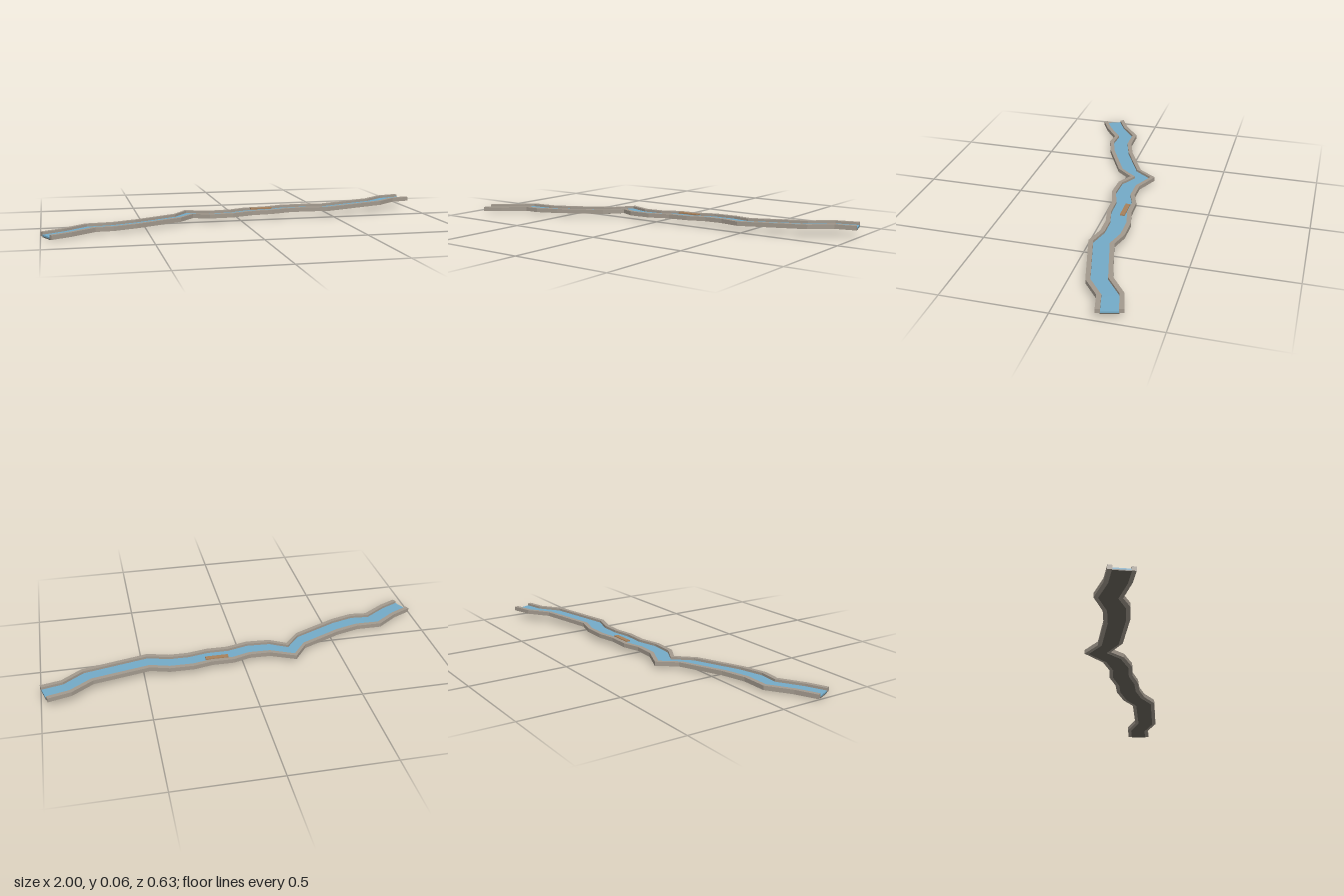
import * as THREE from 'three';

// Stations along the channel: back edge x, z, front edge x, z, height of the bank tops
const stations = [
  [-1.0, 0.20, -0.95, 0.31, 0.025],
  [-0.90, 0.15, -0.86, 0.265, 0.027],
  [-0.79, 0.067, -0.745, 0.187, 0.030],
  [-0.66, 0.065, -0.66, 0.193, 0.032],
  [-0.54, 0.028, -0.545, 0.158, 0.034],
  [-0.335, -0.07, -0.318, 0.05, 0.037],
  [-0.265, -0.163, -0.243, -0.035, 0.038],
  [-0.14, -0.11, -0.163, 0.008, 0.040],
  [-0.035, -0.11, -0.043, 0.013, 0.042],
  [0.05, -0.14, 0.065, -0.018, 0.044],
  [0.16, -0.142, 0.17, -0.02, 0.046],
  [0.255, -0.165, 0.27, -0.042, 0.048],
  [0.375, -0.165, 0.365, -0.042, 0.049],
  [0.47, -0.14, 0.47, -0.015, 0.051],
  [0.75, -0.21, 0.80, -0.10, 0.059],
  [0.855, -0.288, 0.90, -0.178, 0.060],
  [0.967, -0.318, 1.0, -0.20, 0.060],
];

// Sweeps a rectangle along the stations; t runs across from back (0) to front (1),
// heights are measured from the bank tops
function sweep(name, color, t0, t1, top, bottom) {
  const rings = stations.map(([bx, bz, fx, fz, y]) =>
    [[t0, top], [t1, top], [t1, bottom], [t0, bottom]].map(([t, dy]) =>
      [bx + (fx - bx) * t, y + dy, bz + (fz - bz) * t]));
  const pos = [];
  const quad = (a, b, c, d) => pos.push(...a, ...b, ...c, ...a, ...c, ...d);
  for (let i = 0; i < rings.length - 1; i++) {
    for (let k = 0; k < 4; k++) {
      const n = (k + 1) % 4;
      quad(rings[i][k], rings[i][n], rings[i + 1][n], rings[i + 1][k]);
    }
  }
  quad(...rings[0].slice().reverse());
  quad(...rings[rings.length - 1]);
  const geometry = new THREE.BufferGeometry();
  geometry.setAttribute('position', new THREE.Float32BufferAttribute(pos, 3));
  geometry.computeVertexNormals();
  const mesh = new THREE.Mesh(geometry, new THREE.MeshStandardMaterial({ color, flatShading: true }));
  mesh.name = name;
  return mesh;
}

export function createModel() {
  const group = new THREE.Group();
  group.name = 'waterChannel';
  const bank = 0.18;

  // Stone banks on both sides
  group.add(sweep('backBank', 0xa39a8e, 0, bank, 0, -0.021));
  group.add(sweep('frontBank', 0xa39a8e, 1 - bank, 1, 0, -0.021));

  // Bed and the water lying on it
  group.add(sweep('channelBed', 0x6b675e, bank * 0.9, 1 - bank * 0.9, -0.019, -0.024));
  group.add(sweep('water', 0x74abc8, bank, 1 - bank, -0.012, -0.019));

  // Small wooden board at the back bank
  const board = new THREE.Mesh(
    new THREE.BoxGeometry(0.115, 0.006, 0.024),
    new THREE.MeshStandardMaterial({ color: 0xa8815a }));
  board.name = 'woodenBoard';
  board.position.set(0.132, 0.0435, -0.103);
  group.add(board);
  return group;
}
